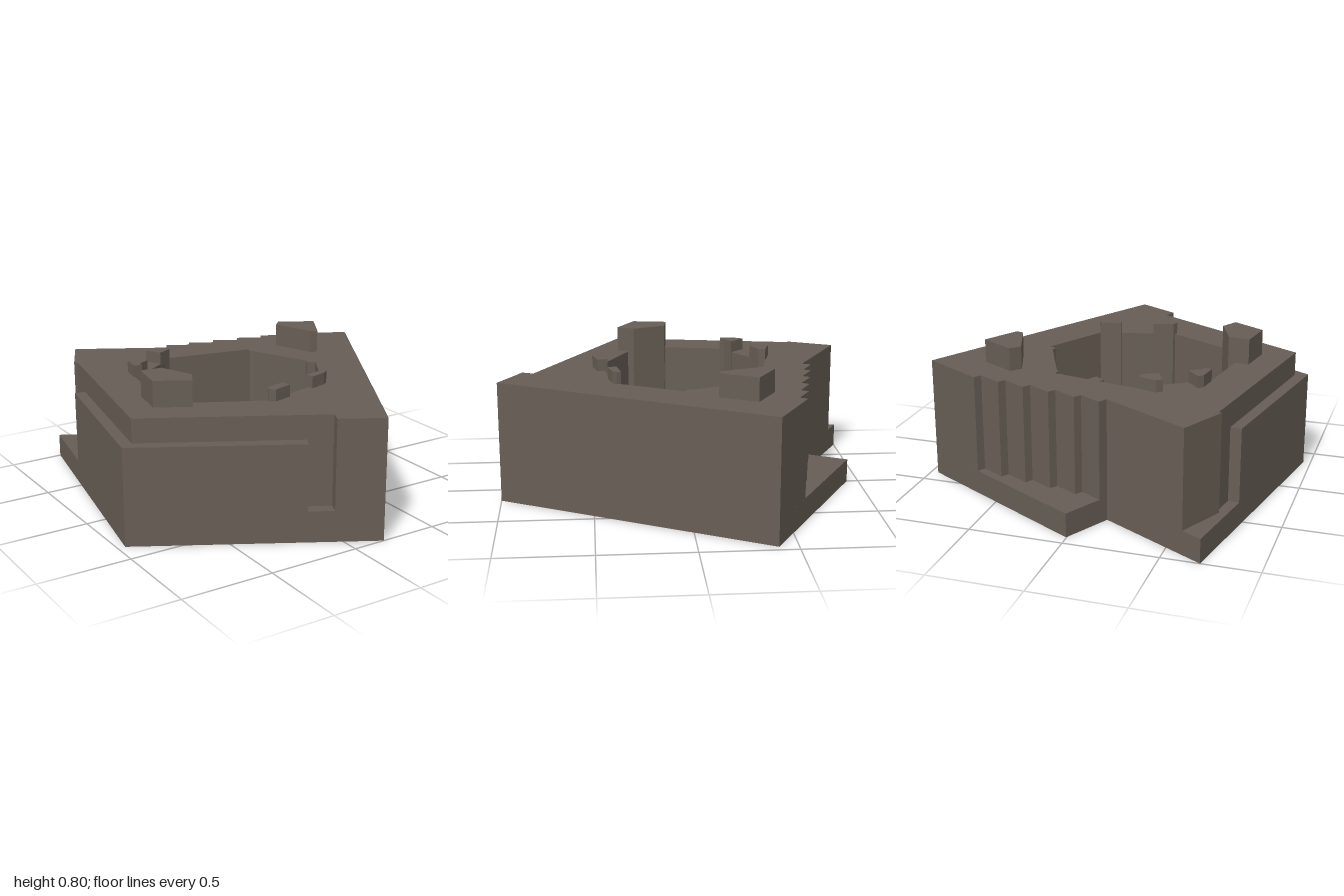
import * as THREE from 'three';

export function createModel() {
  const group = new THREE.Group();
  const stone = new THREE.MeshStandardMaterial({ color: 0x675e55, flatShading: true });

  // Prism over a plan outline of [x, z] corners, from height y0 to y1.
  // Outlines and holes are listed in the same turn, so holes are reversed to face inward.
  const toV = (pts) => pts.map(([x, z]) => new THREE.Vector2(x, -z));
  function prism(name, outline, y0, y1, hole) {
    const shape = new THREE.Shape(toV(outline));
    if (hole) shape.holes.push(new THREE.Path(toV(hole).reverse()));
    const geo = new THREE.ExtrudeGeometry(shape, { depth: y1 - y0, bevelEnabled: false });
    geo.rotateX(-Math.PI / 2);
    geo.translate(0, y0, 0);
    const mesh = new THREE.Mesh(geo, stone);
    mesh.name = name;
    group.add(mesh);
  }

  const FLOOR = 0.13, TOP = 0.66, POST = 0.725;

  // Base slab with an opening through the floor
  prism('baseSlab',
    [[-0.7, -1], [-0.13, -0.685], [0.003, -0.935], [0.96, -0.4], [0.18, 1], [-0.96, 0.36]],
    0, FLOOR,
    [[-0.295, -0.385], [0.14, -0.14], [-0.035, 0.19], [-0.39, 0.125]]);

  // Saw-tooth back wall, stepping along the ledge
  const teeth = [];
  for (let i = 0; i < 5; i++) {
    const x = 0.01 + i * 0.149, z = -0.668 + i * 0.0305;
    teeth.push([x, z], [x + 0.025, z - 0.037]);
  }
  teeth[teeth.length - 1] = [0.63, -0.584];

  // Main walls around the deep chamber
  prism('mainWalls',
    [[-0.595, -0.942], [-0.13, -0.685], [-0.105, -0.732], ...teeth, [0.96, -0.4], [0.18, 1],
      [-0.04, 0.8765], [-0.013, 0.815], [-0.89, 0.33], [-0.7, -0.69], [-0.717, -0.695]],
    FLOOR, TOP,
    [[-0.24, -0.49], [0.25, -0.395], [0.245, -0.36], [0.26, -0.345], [0.405, -0.025], [0.397, 0.005],
      [0.435, 0.025], [0.25, 0.36], [-0.17, 0.455], [-0.515, 0.28], [-0.61, 0.055],
      [-0.555, -0.265], [-0.515, -0.285], [-0.24, -0.455]]);

  // Lower outer facing with its end slot
  prism('outerFacing',
    [[-0.786, -0.55], [-0.727, -0.545], [-0.89, 0.33], [-0.13, 0.75], [-0.16, 0.809], [-0.96, 0.36]],
    FLOOR, 0.53);
  prism('slotSill',
    [[-0.16, 0.809], [-0.04, 0.8765], [-0.013, 0.815], [-0.13, 0.75]], FLOOR, 0.17);

  // Posts standing against the chamber walls
  const posts = [
    [[-0.335, -0.52], [-0.235, -0.49], [-0.24, -0.45], [-0.32, -0.41], [-0.365, -0.495]],
    [[-0.52, -0.395], [-0.45, -0.32], [-0.515, -0.285], [-0.515, -0.26], [-0.56, -0.265], [-0.545, -0.37]],
    [[0.13, 0.365], [0.25, 0.345], [0.26, 0.37], [0.23, 0.39], [0.14, 0.413]],
    [[-0.16, 0.44], [-0.05, 0.41], [-0.04, 0.465], [-0.145, 0.493], [-0.175, 0.47]],
  ];
  posts.forEach((p, i) => prism('post' + (i + 1), p, FLOOR, POST));

  // Large corner blocks
  prism('rightCornerBlock',
    [[-0.685, 0.05], [-0.57, 0.065], [-0.495, 0.25], [-0.545, 0.34], [-0.718, 0.24]], FLOOR, 0.8);
  prism('leftCornerBlock',
    [[0.49, -0.435], [0.673, -0.33], [0.565, -0.14], [0.525, -0.155], [0.443, -0.385]], TOP - 0.02, 0.785);

  // Low blocks on the chamber floor
  prism('chamberStep', [[0.275, 0.155], [0.34, 0.195], [0.27, 0.32], [0.21, 0.28]], FLOOR, 0.4);
  prism('chamberPlinth', [[0.015, -0.013], [0.18, 0.08], [0.09, 0.24], [-0.075, 0.145]], 0, 0.25);

  return group;
}
